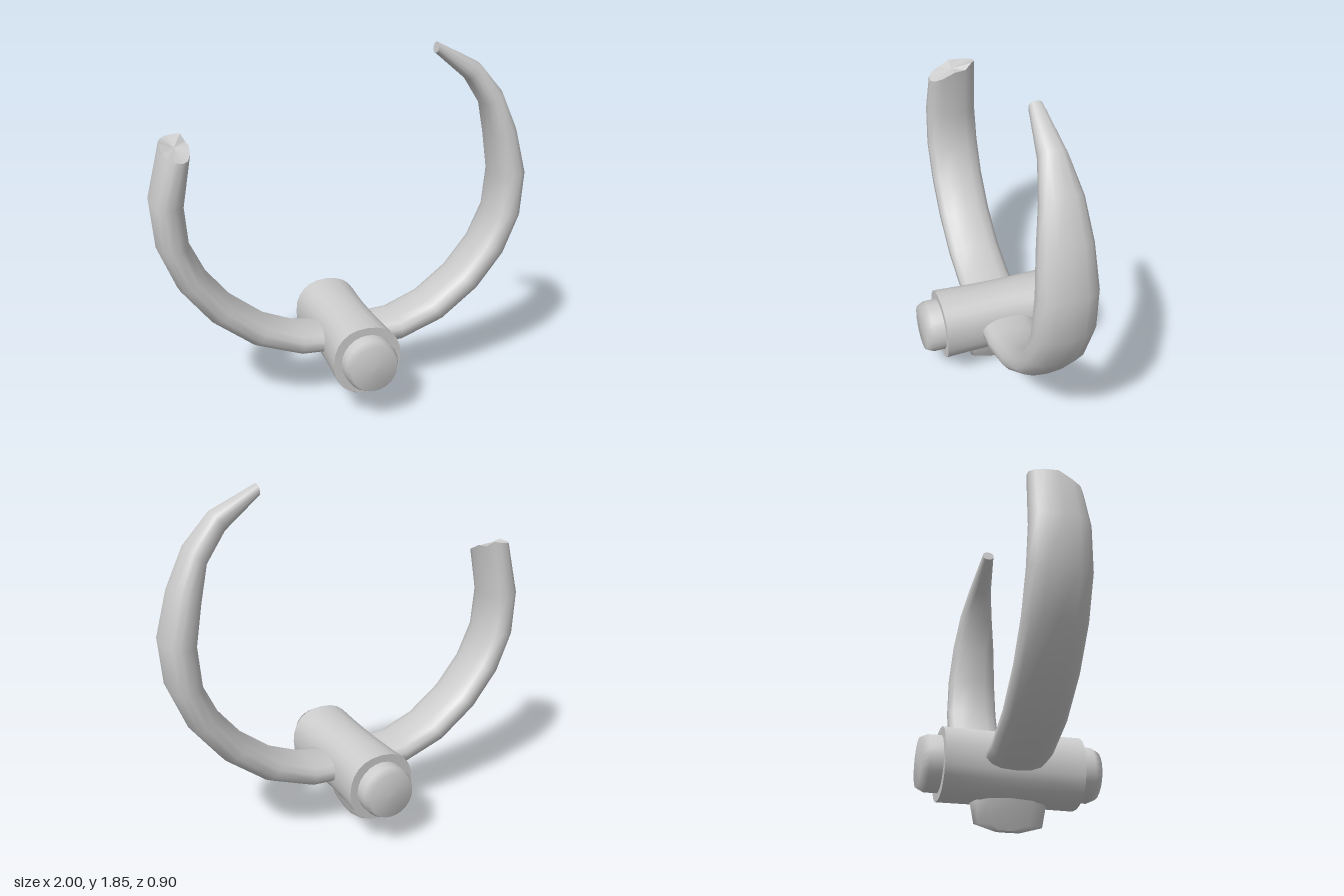
import * as THREE from 'three';
import { mergeGeometries } from 'three/addons/utils/BufferGeometryUtils.js';

const material = () => new THREE.MeshStandardMaterial({ color: 0xcccccc });
const SIDES = 14;
const HUB_Y = 0.31;

// rounded-square power: keeps the sign, flattens the curve
const soft = (v, p) => Math.sign(v) * Math.abs(v) ** p;

// smooth skin through rings of points, with a flat-shaded fan on each end
function loft(rings) {
  const n = rings[0].length;
  const index = [];
  for (let i = 0; i < rings.length - 1; i++) {
    for (let j = 0; j < n; j++) {
      const k = (j + 1) % n;
      const a = i * n + j, b = i * n + k, c = a + n, d = b + n;
      index.push(a, b, d, a, d, c);
    }
  }
  const skin = new THREE.BufferGeometry().setFromPoints(rings.flat());
  skin.setIndex(index);
  skin.computeVertexNormals();

  const caps = [];
  const fan = (ring, flip) => {
    const mid = ring.reduce((s, p) => s.add(p), new THREE.Vector3()).divideScalar(n);
    ring.forEach((p, j) => {
      const q = ring[(j + 1) % n];
      caps.push(mid, flip ? q : p, flip ? p : q);
    });
  };
  fan(rings[0], true);
  fan(rings.at(-1), false);
  const ends = new THREE.BufferGeometry().setFromPoints(caps);
  ends.computeVertexNormals();
  return mergeGeometries([skin.toNonIndexed(), ends]);
}

// horn stations: outer x, y, inner x, y, half depth in z
const base = [
  [0.10, 0.255, 0.10, 0.385, 0.15],
  [0.28, 0.26, 0.27, 0.40, 0.15],
  [0.53, 0.35, 0.44, 0.47, 0.15],
  [0.74, 0.51, 0.61, 0.60, 0.15],
  [0.89, 0.70, 0.74, 0.76, 0.15],
  [0.98, 0.92, 0.82, 0.93, 0.15],
  [1.00, 1.16, 0.835, 1.13, 0.143],
];
const wholeEnd = [
  [0.94, 1.39, 0.80, 1.33, 0.127],
  [0.85, 1.59, 0.76, 1.51, 0.10],
  [0.72, 1.74, 0.66, 1.65, 0.065],
  [0.49, 1.85, 0.48, 1.795, 0.033],
];
const brokenEnd = [[0.93, 1.41, 0.79, 1.41, 0.132]];

function hornRings(stations, side) {
  return stations.map(([ox, oy, ix, iy, depth]) => {
    const ring = [];
    for (let j = 0; j < SIDES; j++) {
      const a = (j / SIDES) * Math.PI * 2;
      const c = soft(Math.cos(a), 0.85) / 2;
      ring.push(new THREE.Vector3(
        side * ((ox + ix) / 2 + (ox - ix) * c),
        (oy + iy) / 2 + (oy - iy) * c,
        -side * depth * soft(Math.sin(a), 0.85)
      ));
    }
    return ring;
  });
}

export function createModel() {
  const model = new THREE.Group();
  const add = (name, geometry) => {
    const mesh = new THREE.Mesh(geometry, material());
    mesh.name = name;
    model.add(mesh);
    return mesh;
  };

  // long horn, tapering to a tip
  add('leftHorn', loft(hornRings([...base, ...wholeEnd], 1)));

  // short horn, snapped off in a diagonal step
  const broken = hornRings([...base, ...brokenEnd], -1);
  for (const p of broken.at(-1)) {
    const s = 0.57 * (p.x + 0.86) + 0.82 * p.z;
    const step = s > 0.03 ? -(s - 0.03) * 0.6 : s < -0.03 ? 0.035 : 0;
    p.y += step + 0.15 * (p.x + 0.86);
  }
  add('brokenRightHorn', loft(broken));

  // barrel hub: rounded-square section, pinched sideways at the middle
  const hubRings = [-0.345, -0.2, -0.06, 0.06, 0.2, 0.345].map((z) => {
    const pinch = 0.162 + 0.018 * Math.min(1, (Math.abs(z) / 0.345) ** 1.5);
    return Array.from({ length: 24 }, (_, j) => {
      const a = (j / 24) * Math.PI * 2;
      return new THREE.Vector3(
        pinch * soft(Math.cos(a), 0.88), HUB_Y + 0.18 * soft(Math.sin(a), 0.88), z);
    });
  });
  add('hub', loft(hubRings));

  // rounded end caps of the hub
  const capProfile = [[0.14, 0.3], [0.14, 0.41], [0.122, 0.448], [0, 0.452]]
    .map(([r, z]) => new THREE.Vector2(r, z));
  for (const [name, turn] of [['frontCap', 1], ['backCap', -1]]) {
    const cap = add(name, new THREE.LatheGeometry(capProfile, 24));
    cap.rotation.x = turn * Math.PI / 2;
    cap.position.y = HUB_Y;
  }

  // wedge-shaped fin below the hub, listed from the bottom up
  const finRings = [
    [0, 0.02, 0.07], [0.028, 0.03, 0.17], [0.13, 0.07, 0.19], [0.22, 0.09, 0.19],
  ].map(([y, hx, hz]) => Array.from({ length: 12 }, (_, j) => {
    const a = (j / 12) * Math.PI * 2;
    return new THREE.Vector3(hx * soft(Math.sin(a), 0.8), y, hz * soft(Math.cos(a), 0.8));
  }));
  add('lowerFin', loft(finRings));

  return model;
}
